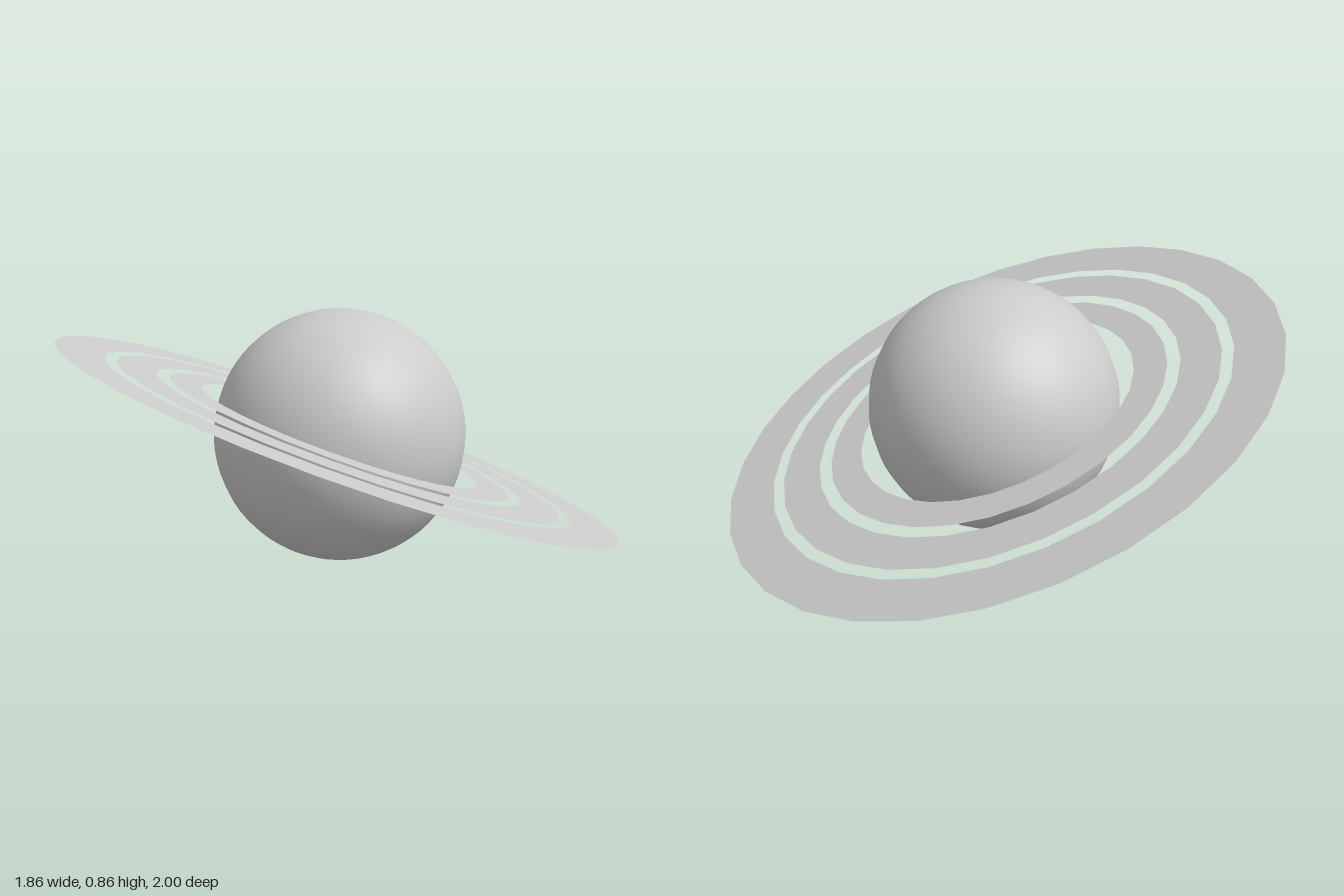
import * as THREE from 'three';

export function createModel() {
  const model = new THREE.Group();

  // Globe resting on the ground plane
  const radius = 0.431;
  const globe = new THREE.Mesh(
    new THREE.SphereGeometry(radius, 32, 32),
    new THREE.MeshStandardMaterial({ color: 0xcccccc })
  );
  globe.name = 'planet';
  globe.position.y = radius;
  model.add(globe);

  // Three flat concentric bands, sharing one tilt
  const rings = new THREE.Group();
  rings.name = 'rings';
  const ringMaterial = new THREE.MeshStandardMaterial({ color: 0xcccccc, side: THREE.DoubleSide });
  const bands = [
    ['innerRing', 0.498, 0.612],
    ['middleRing', 0.657, 0.794],
    ['outerRing', 0.834, 1],
  ];
  for (const [name, inner, outer] of bands) {
    const geometry = new THREE.RingGeometry(inner, outer, 30, 1, Math.PI / 2);
    geometry.rotateX(-Math.PI / 2);
    const band = new THREE.Mesh(geometry, ringMaterial);
    band.name = name;
    rings.add(band);
  }
  rings.position.y = radius;
  rings.rotation.set(-0.01, 0, THREE.MathUtils.degToRad(-21));
  model.add(rings);

  return model;
}
